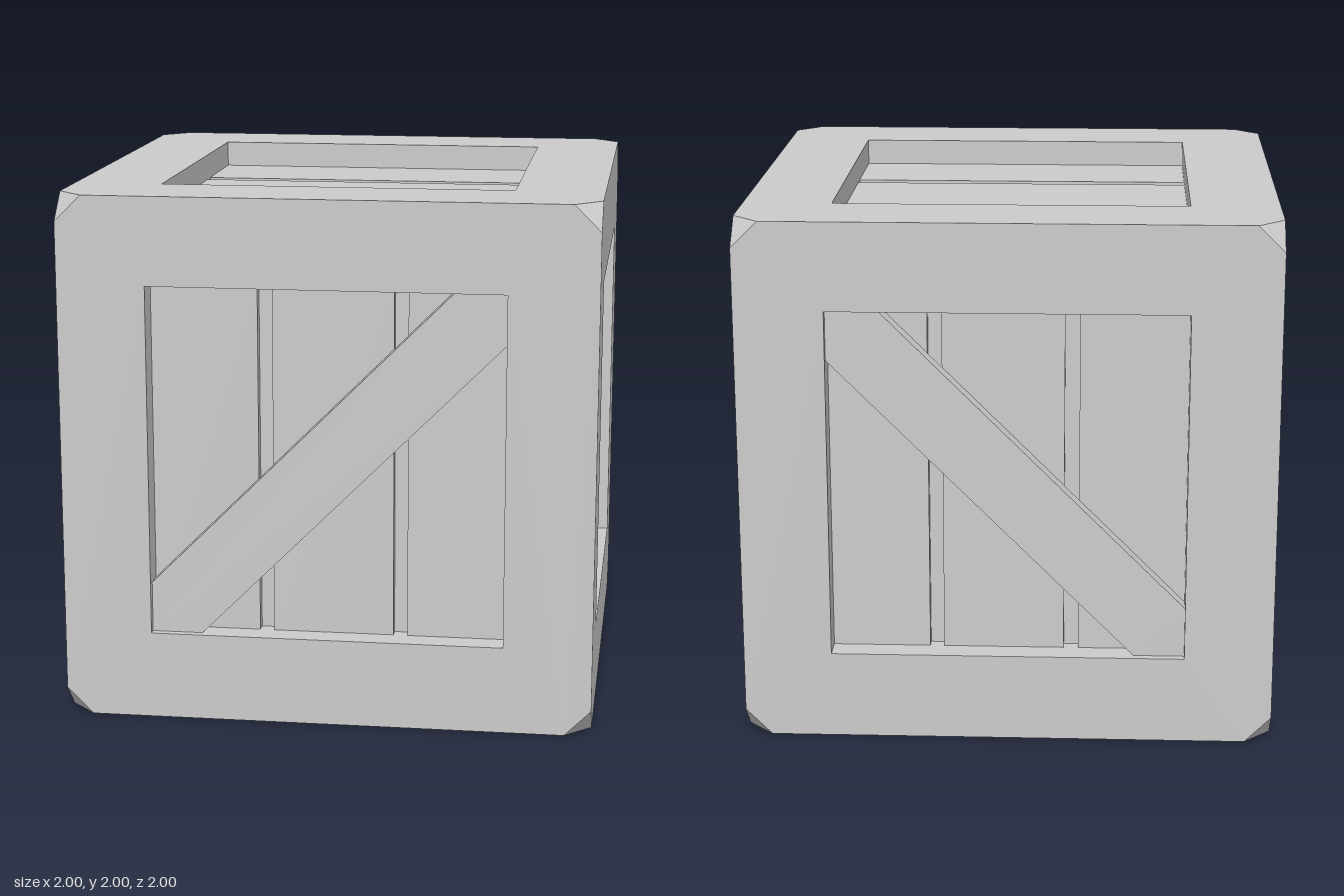
import * as THREE from 'three';

const HALF = 1;        // half the crate's edge
const CUT = 0.1;       // corner chamfer
const OPEN = 0.667;    // half the panel opening
const PLANK = 0.9;     // plank surface
const BACK = 0.86;     // bottom of the grooves between planks
const BRACE = 0.97;    // surface of the diagonal brace

const material = new THREE.MeshStandardMaterial({ color: 0xcccccc, flatShading: true });

function polygon(points) {
  return new THREE.Shape(points.map(([x, y]) => new THREE.Vector2(x, y)));
}

function addMesh(parent, name, geometry, x = 0, y = 0, z = 0) {
  const mesh = new THREE.Mesh(geometry, material);
  mesh.name = name;
  mesh.position.set(x, y, z);
  parent.add(mesh);
  return mesh;
}

// One crate side, built facing +z; m = -1 mirrors planks and brace
function createSide(name, m, hasBrace) {
  const side = new THREE.Group();
  side.name = name;

  // Outer frame face with cut corners and a square opening
  const a = HALF, b = HALF - CUT, o = OPEN;
  const frame = polygon([[-b, -a], [b, -a], [a, -b], [a, b], [b, a], [-b, a], [-a, b], [-a, -b]]);
  frame.holes.push(polygon([[-o, -o], [-o, o], [o, o], [o, -o]]));
  addMesh(side, 'frameFace', new THREE.ShapeGeometry(frame), 0, 0, HALF);

  // Inner walls of the opening
  const depth = HALF - BACK;
  for (let i = 0; i < 4; i++) {
    const wall = new THREE.PlaneGeometry(2 * o, depth);
    wall.rotateX(-Math.PI / 2).translate(0, -o, HALF - depth / 2).rotateZ(i * Math.PI / 2);
    addMesh(side, 'openingWall', wall);
  }

  // Back board seen in the grooves, and three planks
  addMesh(side, 'backBoard', new THREE.PlaneGeometry(2 * o, 2 * o), 0, 0, BACK);
  for (const [x0, x1] of [[-o, -0.265], [-0.21, 0.245], [0.298, o]]) {
    const plank = new THREE.BoxGeometry(x1 - x0, 2 * o, PLANK - BACK);
    addMesh(side, 'plank', plank, m * (x0 + x1) / 2, 0, (PLANK + BACK) / 2);
  }

  // Diagonal brace, trimmed to the opening
  if (hasBrace) {
    const t = o - 0.192;
    const points = [[-o, -o], [-t, -o], [o, t], [o, o], [t, o], [-o, -t]];
    const brace = polygon(points.map(([x, y]) => [m * x, y]));
    addMesh(side, 'diagonalBrace',
      new THREE.ExtrudeGeometry(brace, { depth: BRACE - PLANK, bevelEnabled: false }), 0, 0, PLANK);
  }
  return side;
}

// Small triangle closing one cut corner
function createCorner(sx, sy, sz) {
  const c = HALF - CUT;
  const corners = [[c, HALF, HALF], [HALF, c, HALF], [HALF, HALF, c]]
    .map(([x, y, z]) => new THREE.Vector3(x * sx, y * sy, z * sz));
  if (sx * sy * sz < 0) corners.reverse();
  const geometry = new THREE.BufferGeometry().setFromPoints(corners);
  geometry.computeVertexNormals();
  return geometry;
}

export function createModel() {
  const crate = new THREE.Group();
  crate.name = 'crate';

  // name, outward direction, plank direction, mirror, brace
  const sides = [
    ['frontSide', [0, 0, 1], [0, 1, 0], 1, true],
    ['backSide', [0, 0, -1], [0, 1, 0], -1, true],
    ['leftSide', [1, 0, 0], [0, 1, 0], -1, false],
    ['rightSide', [-1, 0, 0], [0, 1, 0], -1, false],
    ['topSide', [0, 1, 0], [1, 0, 0], 1, false],
    ['bottomSide', [0, -1, 0], [-1, 0, 0], 1, false],
  ];
  for (const [name, out, along, mirror, hasBrace] of sides) {
    const side = createSide(name, mirror, hasBrace);
    const z = new THREE.Vector3(...out), y = new THREE.Vector3(...along);
    const x = new THREE.Vector3().crossVectors(y, z);
    side.quaternion.setFromRotationMatrix(new THREE.Matrix4().makeBasis(x, y, z));
    crate.add(side);
  }

  for (const sx of [-1, 1])
    for (const sy of [-1, 1])
      for (const sz of [-1, 1]) addMesh(crate, 'cutCorner', createCorner(sx, sy, sz));

  crate.position.y = HALF;
  const model = new THREE.Group();
  model.name = 'woodenCrate';
  model.add(crate);
  return model;
}
